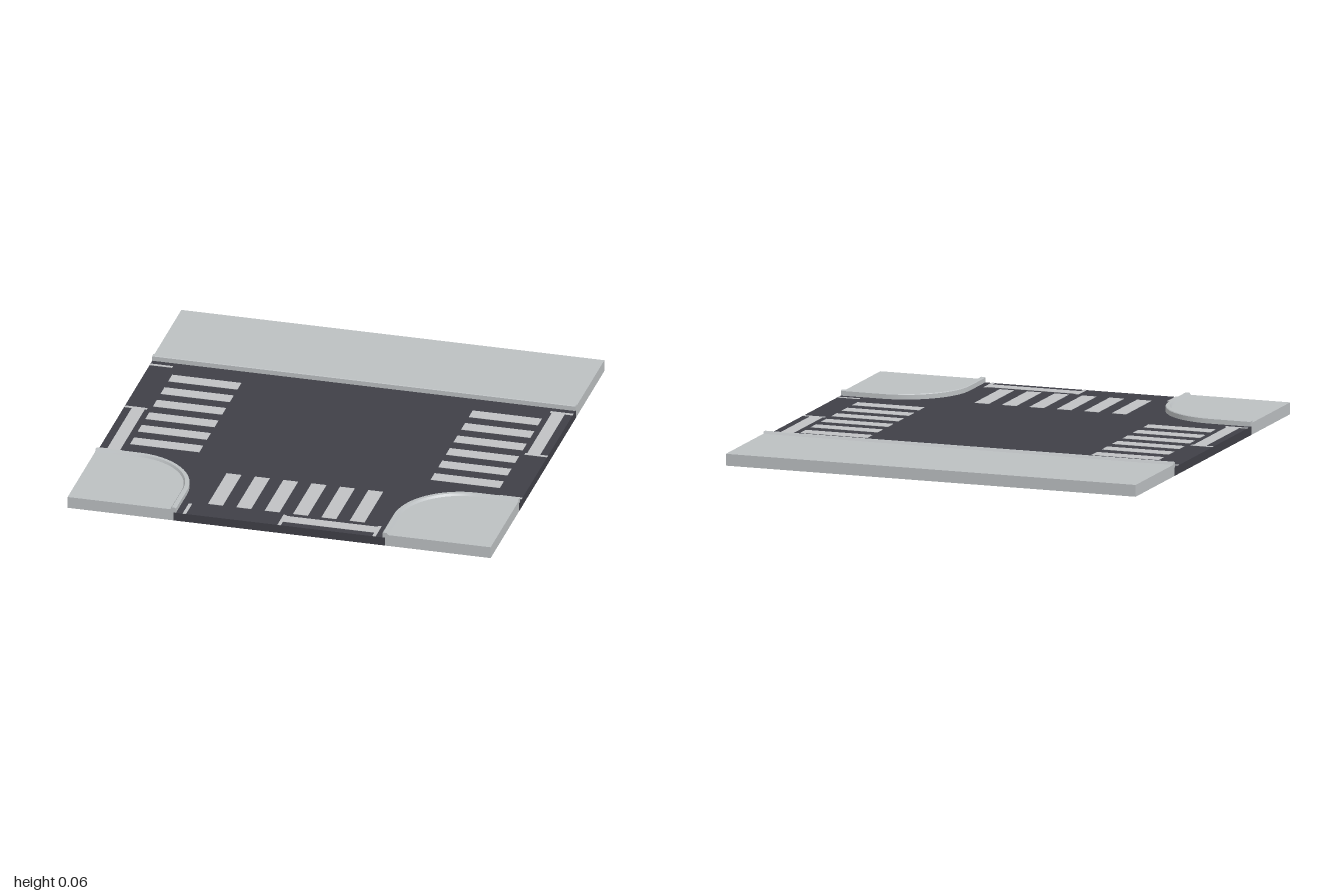
import * as THREE from 'three';
import { toCreasedNormals } from 'three/addons/utils/BufferGeometryUtils.js';

const ROAD_TOP = 0.04, WALK_TOP = 0.055, ARC = 0.8, RADIUS = 0.3;

const pavement = new THREE.MeshStandardMaterial({ color: 0xbbbfc1 });
pavement.name = 'pavement grey';
const asphalt = new THREE.MeshStandardMaterial({ color: 0x3f3f47 });
asphalt.name = 'asphalt';
const paint = new THREE.MeshStandardMaterial({ color: 0xbfc1c3 });
paint.name = 'road paint';

// Plan outline [x, z] of the rounded front corner, set in by d from the road edge
function cornerPath(d) {
  const pts = [[1, 0.5 + d]];
  for (let i = 0; i <= 16; i++) {
    const a = -Math.PI / 2 - (i / 16) * Math.PI / 2;
    pts.push([ARC + (RADIUS - d) * Math.cos(a), ARC + (RADIUS - d) * Math.sin(a)]);
  }
  pts.push([0.5 + d, 1]);
  return pts;
}
const backPath = (d) => [[-1, -0.5 - d], [1, -0.5 - d]];

// Slab with a plan outline, standing on the ground
function slab(name, outline, height, material) {
  const shape = new THREE.Shape(outline.map(([x, z]) => new THREE.Vector2(x, z)));
  const geo = new THREE.ExtrudeGeometry(shape, { depth: height, bevelEnabled: false });
  geo.rotateX(Math.PI / 2).translate(0, height, 0);
  const mesh = new THREE.Mesh(geo, material);
  mesh.name = name;
  return mesh;
}

// Kerb cross-section [inset, y] swept along a path
const kerbProfile = [[-0.012, 0.04], [-0.012, 0.062], [-0.009, 0.065],
  [0.008, 0.065], [0.015, 0.055], [0.015, 0.04]];
function kerb(name, path) {
  const rows = kerbProfile.map(([d, y]) => path(d).map(([x, z]) => [x, y, z]));
  const n = rows.length, last = rows[0].length - 1, pos = [];
  const tri = (...corners) => corners.forEach((c) => pos.push(...c));
  for (let j = 0; j < n; j++) {
    const a = rows[j], b = rows[(j + 1) % n];
    for (let i = 0; i < last; i++) {
      tri(a[i], a[i + 1], b[i + 1]);
      tri(a[i], b[i + 1], b[i]);
    }
    if (j > 0 && j < n - 1) {
      tri(rows[0][0], a[0], b[0]);
      tri(rows[0][last], b[last], a[last]);
    }
  }
  const geo = new THREE.BufferGeometry();
  geo.setAttribute('position', new THREE.Float32BufferAttribute(pos, 3));
  const mesh = new THREE.Mesh(toCreasedNormals(geo, Math.PI / 7), pavement);
  mesh.name = name;
  return mesh;
}

// Thin painted rectangle on the road
function stripe(name, x0, x1, z0, z1) {
  const mesh = new THREE.Mesh(new THREE.BoxGeometry(x1 - x0, 0.002, z1 - z0), paint);
  mesh.position.set((x0 + x1) / 2, ROAD_TOP + 0.0005, (z0 + z1) / 2);
  mesh.name = name;
  return mesh;
}

// Markings of one arm, running out towards +z
function armMarkings(name) {
  const arm = new THREE.Group();
  arm.name = name;
  for (let i = 0; i < 6; i++) {
    const x = (i - 2.5) * 0.134;
    arm.add(stripe('crossingBar', x - 0.035, x + 0.035, 0.547, 0.874));
  }
  for (const x of [-0.448, 0, 0.448]) {
    arm.add(stripe('laneLine', x - 0.008, x + 0.008, 0.893, 1));
  }
  arm.add(stripe('stopLine', 0.008, 0.44, 0.902, 0.963));
  return arm;
}

export function createModel() {
  const model = new THREE.Group();
  model.name = 'roadJunction';

  // Road, T-shaped with rounded inner corners
  const right = cornerPath(0);
  const left = right.map(([x, z]) => [-x, z]).reverse();
  model.add(slab('road', [[-1, -0.5], [1, -0.5], ...right, ...left], ROAD_TOP, asphalt));

  // Straight pavement along the back
  model.add(slab('backPavement', [[-1, -1], [1, -1], [1, -0.5], [-1, -0.5]], WALK_TOP, pavement));
  model.add(kerb('backKerb', backPath));

  // Rounded pavements at the two front corners
  for (const [name, turn] of [['leftCorner', 0], ['rightCorner', -Math.PI / 2]]) {
    const corner = new THREE.Group();
    corner.name = name;
    corner.add(slab('cornerPavement', [...cornerPath(0), [1, 1]], WALK_TOP, pavement));
    corner.add(kerb('cornerKerb', cornerPath));
    corner.rotation.y = turn;
    model.add(corner);
  }

  // Painted markings on the three arms
  for (const [name, turn] of [['frontMarkings', 0], ['leftMarkings', 1], ['rightMarkings', -1]]) {
    const arm = armMarkings(name);
    arm.rotation.y = turn * Math.PI / 2;
    model.add(arm);
  }
  return model;
}
